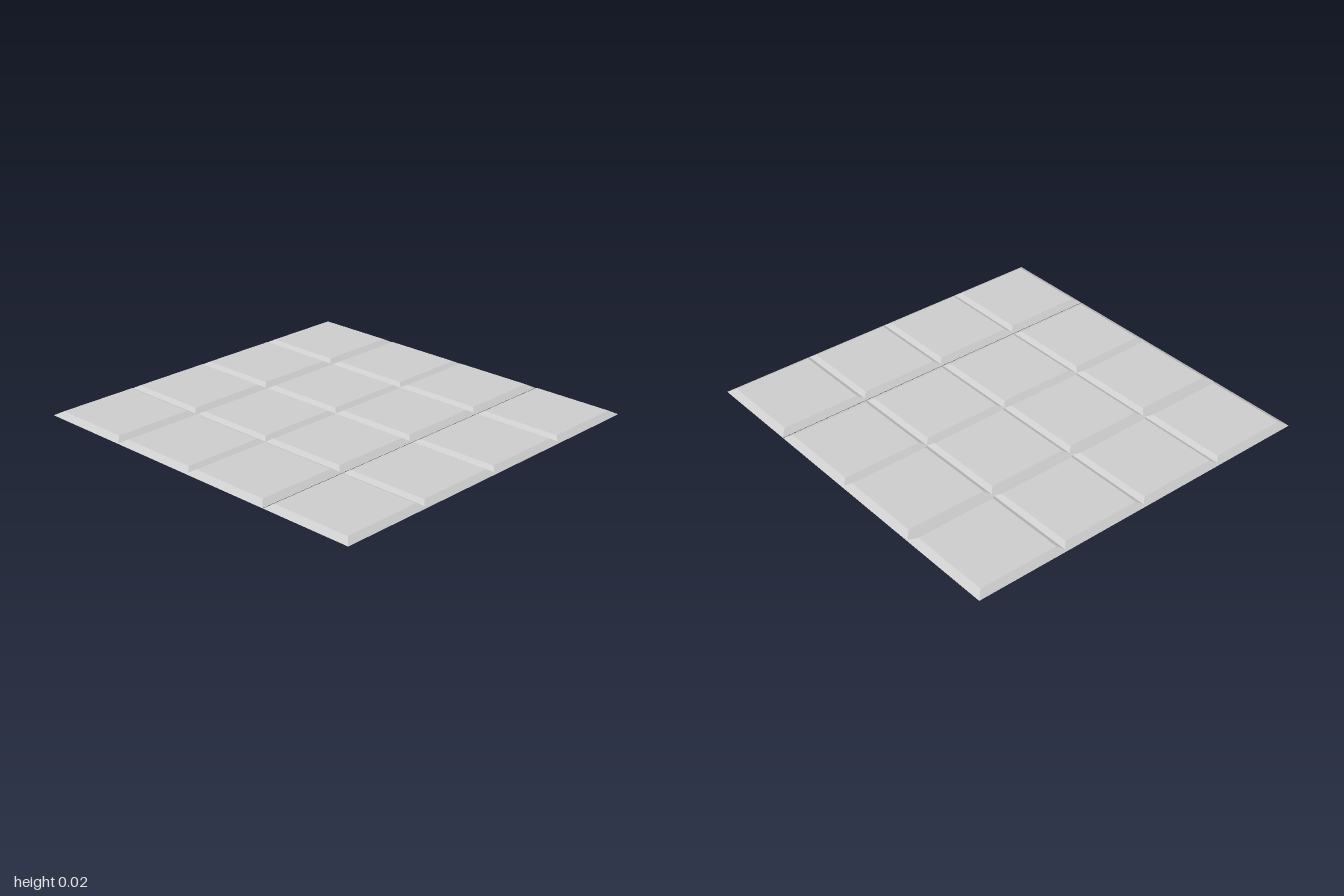
import * as THREE from 'three';

const HALF_X = 0.25, HALF_Z = 0.253, HEIGHT = 0.021, BEVEL = 0.037;

// Open-bottomed tile: a box whose top is inset to slope the four sides
function tileGeometry() {
  const geo = new THREE.BoxGeometry(2 * HALF_X, HEIGHT, 2 * HALF_Z);
  geo.translate(0, HEIGHT / 2, 0);
  const pos = geo.attributes.position;
  for (let i = 0; i < pos.count; i++) {
    if (pos.getY(i) > HEIGHT / 2) {
      pos.setX(i, Math.sign(pos.getX(i)) * (HALF_X - BEVEL));
      pos.setZ(i, Math.sign(pos.getZ(i)) * (HALF_Z - BEVEL));
    }
  }
  // Drop the bottom face (fourth of six, six indices each)
  const index = Array.from(geo.index.array);
  index.splice(18, 6);
  geo.setIndex(index);
  geo.clearGroups();
  geo.computeVertexNormals();
  return geo;
}

export function createModel() {
  const model = new THREE.Group();
  model.name = 'tiledFloor';
  const material = new THREE.MeshStandardMaterial({
    color: 0xcccccc, flatShading: true, side: THREE.DoubleSide,
  });
  const geo = tileGeometry();

  // Columns overlap slightly, so their grooves are shallower than the row grooves
  const columns = [-0.72, -0.24, 0.24, 0.72];
  const rows = [-0.747, -0.246, 0.239, 0.747];
  rows.forEach((z, r) => {
    const row = new THREE.Group();
    row.name = `tileRow${r + 1}`;
    columns.forEach((x, c) => {
      const tile = new THREE.Mesh(geo, material);
      tile.name = `tile${r + 1}_${c + 1}`;
      tile.position.set(x, 0, z);
      row.add(tile);
    });
    model.add(row);
  });
  return model;
}
